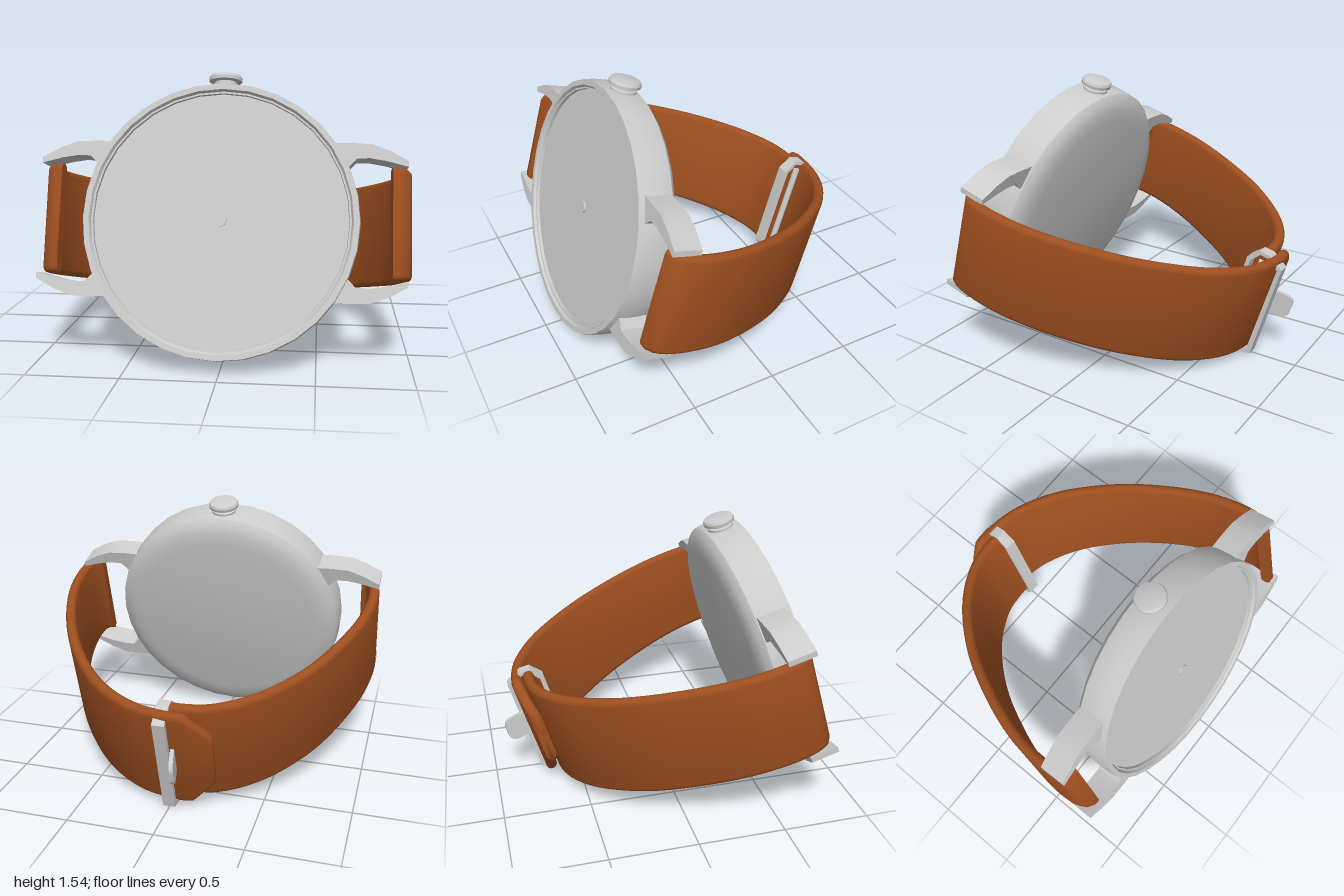
import * as THREE from 'three';
import { toCreasedNormals } from 'three/addons/utils/BufferGeometryUtils.js';

const metal = new THREE.MeshStandardMaterial({ color: 0xcccccc });
const leather = new THREE.MeshStandardMaterial({ color: 0x9e4f20 });
const CY = 0.547; // height of the dial centre in the tilted frame

function mesh(name, geometry, material = metal) {
  const m = new THREE.Mesh(geometry, material);
  m.name = name;
  return m;
}

const shapeOf = (pts) => new THREE.Shape(pts.map(([x, y]) => new THREE.Vector2(x, y)));

// Half width of the strap, widening slightly from the lugs to the buckle
const strapHalfWidth = (z) => 0.295 + 0.03 * (0.88 - z) / 1.5;

// Sweeps a rounded strip along a path of [x, z] points, closed at both ends.
function strapGeometry(path, halfWidth) {
  const curve = new THREE.CatmullRomCurve3(path.map(([x, z]) => new THREE.Vector3(x, 0, z)));
  const steps = 64, half = 0.032, arc = 6, ring = 2 * (arc + 1);
  const pos = [], index = [];
  for (let r = -1; r <= steps + 1; r++) {
    const u = Math.min(Math.max(r / steps, 0), 1);
    const p = curve.getPointAt(u), t = curve.getTangentAt(u);
    const s = r < 0 || r > steps ? 0 : 1; // end rings collapse to a cap
    for (let j = 0; j < ring; j++) {
      const side = j <= arc ? 1 : -1;
      const a = (side > 0 ? j : j - 1) * Math.PI / arc;
      const n = half * Math.cos(a) * s;
      const v = (side * (halfWidth(p) - half) + half * Math.sin(a)) * s;
      pos.push(p.x + t.z * n, CY + v, p.z - t.x * n);
    }
  }
  for (let i = 0; i < steps + 2; i++) {
    for (let j = 0; j < ring; j++) {
      const a = i * ring + j, b = i * ring + (j + 1) % ring;
      index.push(a, b, a + ring, b, b + ring, a + ring);
    }
  }
  const g = new THREE.BufferGeometry();
  g.setAttribute('position', new THREE.Float32BufferAttribute(pos, 3));
  g.setIndex(index);
  return toCreasedNormals(g, 0.8);
}

function turned(points, segments) {
  const g = new THREE.LatheGeometry(points.map(([x, y]) => new THREE.Vector2(x, y)), segments);
  return toCreasedNormals(g, 0.55);
}

// Extrudes a [z, y] outline along x, centred on x = 0.
function sideExtrude(shape, depth) {
  const g = new THREE.ExtrudeGeometry(shape, { depth, bevelEnabled: false, curveSegments: 8 });
  return g.translate(0, 0, -depth / 2).rotateY(-Math.PI / 2);
}

function buildHead() {
  const head = new THREE.Group();
  head.name = 'watchHead';
  head.position.set(-0.015, CY, 0);

  // Case with rounded back, raised rim and recessed dial
  const body = turned([
    [0, 0.652], [0.58, 0.655], [0.65, 0.667], [0.7, 0.687], [0.728, 0.715], [0.735, 0.76],
    [0.737, 0.85], [0.73, 0.916], [0.7, 0.916], [0.69, 0.9], [0.68, 0.9], [0.678, 0.882], [0, 0.882],
  ], 32);
  head.add(mesh('case', body.rotateX(Math.PI / 2)));

  // Centre pin
  const pin = mesh('centrePin', new THREE.CylinderGeometry(0.035, 0.035, 0.03, 16).rotateX(Math.PI / 2));
  pin.position.z = 0.88;
  head.add(pin);

  // Crown: stem, collar and cap
  const crown = mesh('crown', turned([
    [0, 0.66], [0.055, 0.66], [0.055, 0.73], [0.075, 0.735], [0.075, 0.748], [0.06, 0.753],
    [0.06, 0.764], [0.09, 0.768], [0.092, 0.785], [0.085, 0.799], [0.06, 0.805], [0, 0.807],
  ], 24));
  crown.position.z = 0.805;
  head.add(crown);

  // Four curved lugs, mirrored in x and y
  const lug = [
    [0.58, 0.417], [0.68, 0.42], [0.79, 0.415], [0.88, 0.382], [0.98, 0.328],
    [0.98, 0.296], [0.87, 0.325], [0.78, 0.34], [0.715, 0.338], [0.67, 0.293], [0.645, 0.29],
  ];
  for (const sx of [1, -1]) {
    for (const sy of [1, -1]) {
      const shape = shapeOf(lug.map(([x, y]) => [x * sx, y * sy]));
      const g = new THREE.ExtrudeGeometry(shape, { depth: 0.16, bevelEnabled: false });
      const m = mesh('lug', toCreasedNormals(g, 0.5));
      m.position.z = 0.722;
      head.add(m);
    }
  }
  return head;
}

function buildBuckle() {
  const buckle = new THREE.Group();
  buckle.name = 'buckle';

  // Chamfered ring around both strap ends
  const frame = shapeOf([
    [-0.69, 0.215], [-0.59, 0.177], [-0.52, 0.2], [-0.47, 0.25],
    [-0.47, 0.8], [-0.53, 0.872], [-0.59, 0.875], [-0.685, 0.825],
  ]);
  frame.holes.push(new THREE.Path([
    [-0.66, 0.24], [-0.66, 0.81], [-0.59, 0.852], [-0.54, 0.852],
    [-0.495, 0.79], [-0.495, 0.255], [-0.535, 0.22], [-0.59, 0.2],
  ].map(([x, y]) => new THREE.Vector2(x, y))));
  buckle.add(mesh('buckleFrame', sideExtrude(frame, 0.07)));

  // Hinge rod along the frame
  const rod = mesh('buckleRod', new THREE.CylinderGeometry(0.02, 0.02, 0.56, 12));
  rod.position.set(0.03, 0.54, -0.56);
  buckle.add(rod);

  // Prong: a thin round-cornered tab leaning outwards
  const tab = new THREE.Shape();
  tab.moveTo(0.04, -0.075);
  tab.lineTo(-0.1, -0.075);
  tab.quadraticCurveTo(-0.15, -0.07, -0.15, -0.02);
  tab.lineTo(-0.15, 0.02);
  tab.quadraticCurveTo(-0.15, 0.07, -0.1, 0.075);
  tab.lineTo(0.04, 0.075);
  const prong = mesh('prong', toCreasedNormals(sideExtrude(tab, 0.022), 0.6));
  prong.position.set(-0.05, 0.565, -0.645);
  prong.rotation.y = 0.22;
  buckle.add(prong);
  return buckle;
}

export function createModel() {
  const model = new THREE.Group();
  model.name = 'wristwatch';
  const tilted = new THREE.Group();
  tilted.name = 'tiltedWatch';
  tilted.rotation.x = -0.29;
  model.add(tilted);

  tilted.add(buildHead(), buildBuckle());

  // Long strap half: passes through the buckle and ends in a tapered tip
  tilted.add(mesh('strapWithTip', strapGeometry([
    [0.882, 0.845], [0.925, 0.84], [0.955, 0.79], [0.968, 0.68], [0.94, 0.45], [0.835, 0.15],
    [0.67, -0.15], [0.43, -0.43], [0.2, -0.575], [0, -0.622], [-0.14, -0.622], [-0.26, -0.592],
  ], (p) => strapHalfWidth(p.z) - Math.max(0, -0.12 - p.x) * 1.1), leather));

  // Short strap half: ends at the buckle, under the tip
  tilted.add(mesh('strapAtBuckle', strapGeometry([
    [-0.882, 0.845], [-0.925, 0.84], [-0.955, 0.79], [-0.968, 0.68], [-0.94, 0.45], [-0.84, 0.15],
    [-0.685, -0.15], [-0.46, -0.405], [-0.25, -0.528], [-0.1, -0.553], [0.02, -0.55],
  ], (p) => strapHalfWidth(p.z)), leather));

  return model;
}
